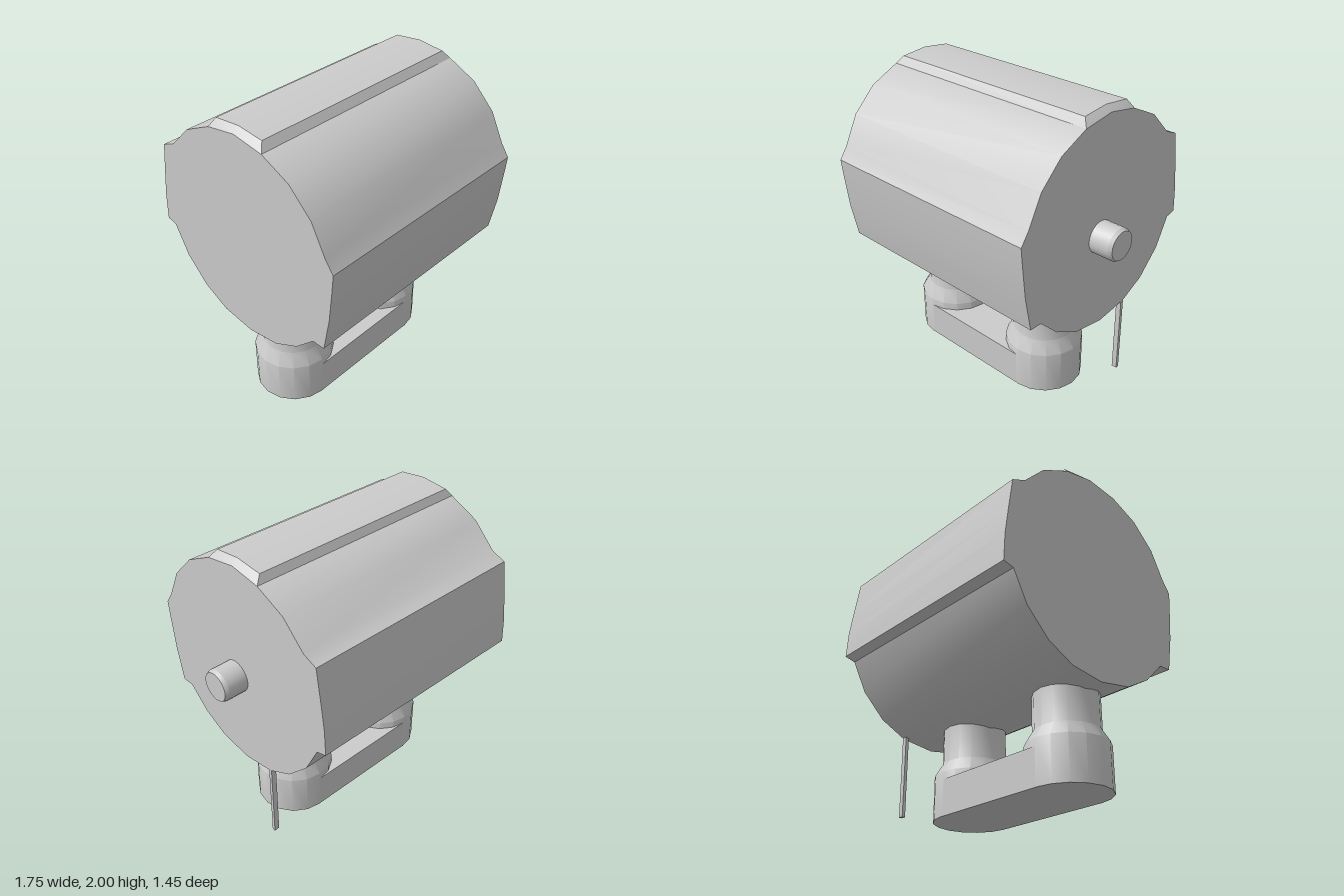
import * as THREE from 'three';
import { toCreasedNormals } from 'three/addons/utils/BufferGeometryUtils.js';
import { ConvexGeometry } from 'three/addons/geometries/ConvexGeometry.js';

const LEFT = 0.715, RIGHT = -0.875, MID_Z = 0.05;

export function createModel() {
  const group = new THREE.Group();
  const material = new THREE.MeshStandardMaterial({ color: 0xcccccc });
  const add = (name, geometry, x = 0, y = 0, z = 0, crease = 0.5) => {
    const mesh = new THREE.Mesh(toCreasedNormals(geometry, crease), material);
    mesh.name = name;
    mesh.position.set(x, y, z);
    group.add(mesh);
    return mesh;
  };

  // Drum: side profile as (z, y), with stepped side panels, extruded along x
  const profile = [
    [0.01, 1.965], [0.225, 1.93], [0.42, 1.835], [0.575, 1.68], [0.67, 1.49],
    [0.725, 1.41], [0.715, 1.3], [0.69, 1.07], [0.645, 0.84], [0.56, 0.84],
    [0.42, 0.705], [0.24, 0.61], [0.01, 0.575], [-0.22, 0.61], [-0.4, 0.705],
    [-0.555, 0.865], [-0.65, 1.055], [-0.72, 1.075], [-0.71, 1.25],
    [-0.685, 1.42], [-0.65, 1.64], [-0.555, 1.68], [-0.4, 1.835], [-0.2, 1.93],
  ];
  const drumShape = new THREE.Shape(profile.map(([z, y]) => new THREE.Vector2(-z, y)));
  const drum = new THREE.ExtrudeGeometry(drumShape, { depth: LEFT - RIGHT, bevelEnabled: false });
  add('drum', drum.rotateY(Math.PI / 2), RIGHT);

  // Raised panel along the top, bevelled on all four sides
  const panelPoints = [];
  for (const [end, inset] of [[RIGHT, 0.04], [LEFT, -0.04]]) {
    for (const [z, y] of [[0.225, 1.93], [0.01, 1.965], [-0.2, 1.93]])
      panelPoints.push(new THREE.Vector3(end, y, z));
    for (const [z, y] of [[0.19, 1.98], [0.01, 2], [-0.175, 1.98]])
      panelPoints.push(new THREE.Vector3(end + inset, y, z));
  }
  add('topPanel', new ConvexGeometry(panelPoints));

  // Base: a slab joining the two feet
  const footX = [-0.555, 0.29];
  add('baseSlab', new THREE.BoxGeometry(footX[1] - footX[0], 0.235, 0.51),
    (footX[0] + footX[1]) / 2, 0.1175, MID_Z);

  // Flared pillars, running up into the drum
  const pillarProfile = [[0, 0], [0.257, 0], [0.257, 0.285], [0.205, 0.37], [0.205, 0.64], [0, 0.64]]
    .map(([r, y]) => new THREE.Vector2(r, y));
  footX.forEach((x, i) =>
    add(i ? 'leftPillar' : 'rightPillar', new THREE.LatheGeometry(pillarProfile, 16), x, 0, MID_Z, 0.6));

  // Axle stub with a chamfered end
  const axleProfile = [[0, -0.03], [0.105, -0.03], [0.105, 0.135], [0.094, 0.16], [0, 0.16]]
    .map(([r, y]) => new THREE.Vector2(r, y));
  add('axle', new THREE.LatheGeometry(axleProfile, 24).rotateZ(-Math.PI / 2), LEFT, 1.2, MID_Z, 0.4);

  // Thin rod hanging behind the left pillar
  add('hangingRod', new THREE.BoxGeometry(0.036, 0.56, 0.022), 0.696, 0.35, -0.218);

  return group;
}
